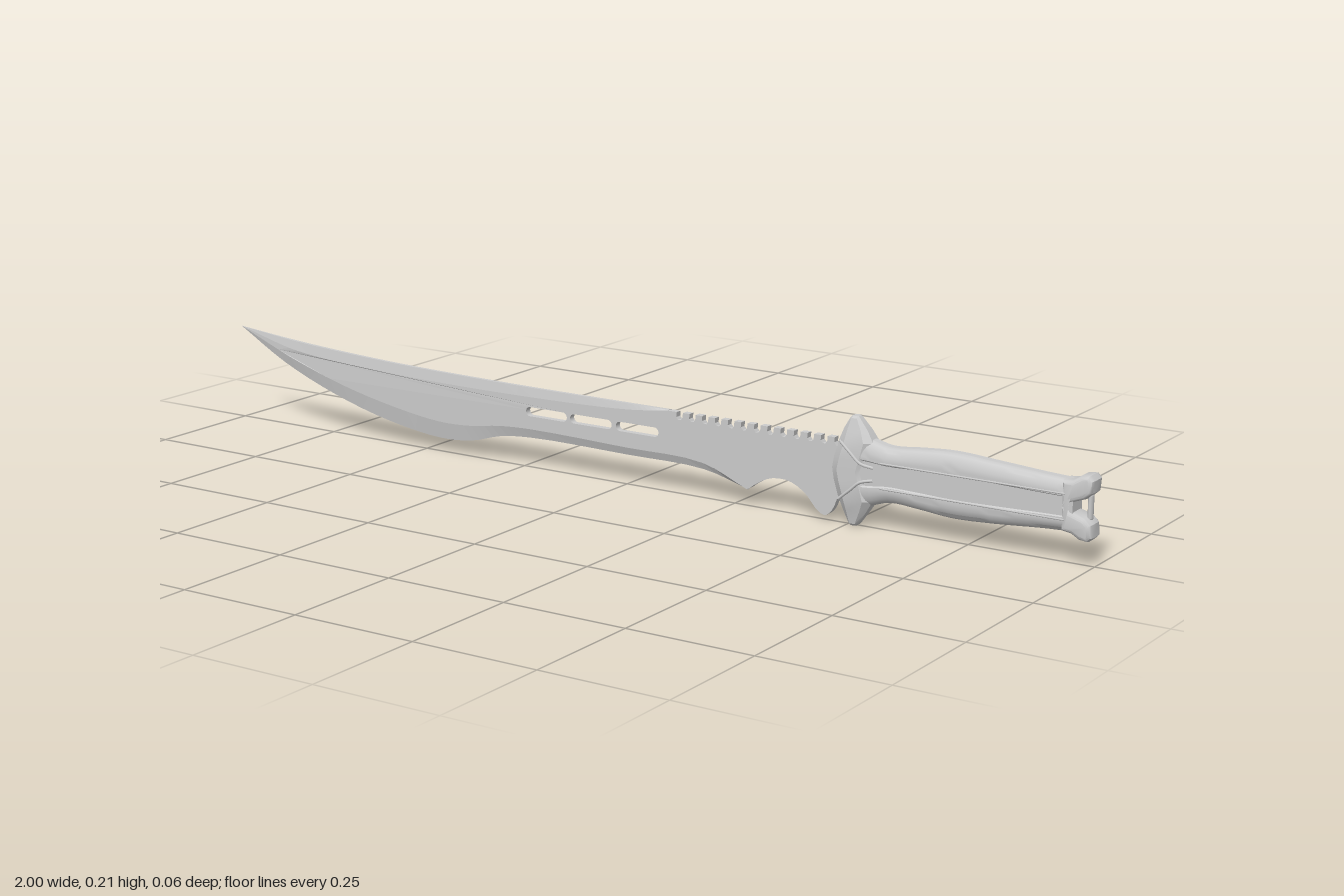
import * as THREE from 'three';
import { toCreasedNormals } from 'three/addons/utils/BufferGeometryUtils.js';

const CY = 0.108; // height of the handle axis
const HALF = 0.007; // half thickness of the blade
const V = (x, y, z) => new THREE.Vector3(x, y, z);

// Skin a list of equal-sized rings and close both ends.
function loft(rings, crease = 0.6) {
  const n = rings[0].length, last = rings.length - 1, pos = [], idx = [];
  rings.forEach(r => r.forEach(p => pos.push(p.x, p.y, p.z)));
  for (let i = 0; i < last; i++) {
    for (let j = 0; j < n; j++) {
      const k = (j + 1) % n, a = i * n + j, b = i * n + k;
      idx.push(a, a + n, b, b, a + n, b + n);
    }
  }
  [0, last].forEach(i => {
    const c = V(0, 0, 0);
    rings[i].forEach(p => c.addScaledVector(p, 1 / n));
    const ci = pos.length / 3;
    pos.push(c.x, c.y, c.z);
    for (let j = 0; j < n; j++) {
      const a = i * n + j, b = i * n + (j + 1) % n;
      if (i === 0) idx.push(ci, a, b); else idx.push(ci, b, a);
    }
  });
  const g = new THREE.BufferGeometry();
  g.setAttribute('position', new THREE.Float32BufferAttribute(pos, 3));
  g.setIndex(idx);
  return toCreasedNormals(g, crease);
}

const smooth = (pts, n) =>
  new THREE.CatmullRomCurve3(pts.map(p => V(p[0], p[1], 0)), false, 'centripetal').getPoints(n);

// Thin the blade towards its point.
function taperTip(g) {
  const p = g.attributes.position;
  for (let i = 0; i < p.count; i++) {
    p.setZ(i, p.getZ(i) * Math.min(1, 0.08 + (p.getX(i) + 1) / 0.16));
  }
  g.computeVertexNormals();
  return g;
}

function slot(x0, x1, y0, y1) {
  const r = (y1 - y0) / 2, cy = (y0 + y1) / 2, h = new THREE.Path();
  h.absarc(x0 + r, cy, r, Math.PI / 2, Math.PI * 1.5, false);
  h.absarc(x1 - r, cy, r, -Math.PI / 2, Math.PI / 2, false);
  h.closePath();
  return h;
}

export function createModel() {
  const group = new THREE.Group();
  const mat = new THREE.MeshStandardMaterial({ color: 0xcccccc });
  const add = (name, g, parent = group) => {
    const m = new THREE.Mesh(g, mat);
    m.name = name;
    parent.add(m);
    return m;
  };

  // Blade: flat core with bevels along the spine and cutting edge
  const blade = new THREE.Group();
  blade.name = 'blade';
  group.add(blade);
  const N = 40;
  const spineEdge = smooth([[-1, 0.2], [-0.84, 0.185], [-0.6, 0.172], [-0.3, 0.166], [0, 0.165], [0.1, 0.165]], N);
  const spineLine = smooth([[-1, 0.2], [-0.84, 0.166], [-0.6, 0.15], [-0.3, 0.146], [0, 0.153], [0.1, 0.164]], N);
  const cutEdge = smooth([[-1, 0.2], [-0.88, 0.135], [-0.74, 0.082], [-0.6, 0.046], [-0.46, 0.028], [-0.38, 0.034],
    [-0.31, 0.053], [-0.23, 0.061], [0, 0.06], [0.18, 0.057], [0.28, 0.032]], N);
  const cutLine = smooth([[-1, 0.2], [-0.86, 0.15], [-0.72, 0.108], [-0.58, 0.079], [-0.46, 0.064], [-0.38, 0.066],
    [-0.31, 0.076], [-0.23, 0.08], [0, 0.076], [0.18, 0.071], [0.28, 0.034]], N);

  const outline = cutLine.map(p => [p.x, p.y]);
  // finger notch and heel
  smooth([[0.28, 0.032], [0.3, 0.047], [0.335, 0.064], [0.375, 0.064], [0.41, 0.045], [0.435, 0.018],
    [0.452, 0.01], [0.468, 0.022], [0.485, 0.055], [0.52, 0.06]], 26).slice(1).forEach(p => outline.push([p.x, p.y]));
  outline.push([0.52, 0.163]);
  // saw teeth along the back
  const teeth = 13, pitch = 0.38 / teeth;
  for (let i = 0; i < teeth; i++) {
    const x = 0.485 - i * pitch;
    outline.push([x, 0.164], [x - 0.001, 0.154], [x - 0.005, 0.149], [x - 0.011, 0.149],
      [x - 0.015, 0.154], [x - 0.014, 0.164]);
  }
  [...spineLine].reverse().slice(0, -1).forEach(p => outline.push([p.x, p.y]));
  const shape = new THREE.Shape(outline.map(p => new THREE.Vector2(...p)));
  [-0.24, -0.132, -0.022].forEach(x => shape.holes.push(slot(x, x + 0.1, 0.107, 0.126)));
  const core = new THREE.ExtrudeGeometry(shape, { depth: HALF * 2, bevelEnabled: false, curveSegments: 8 });
  core.translate(0, 0, -HALF);
  add('bladeCore', taperTip(core), blade);

  const bevel = (line, edge, e, s) => taperTip(loft(line.map((p, i) => {
    const q = edge[i];
    return [V(p.x, p.y, s * HALF), V(q.x, q.y, s * e), V(q.x, q.y, -s * e), V(p.x, p.y, -s * HALF)];
  })));
  add('spineBevel', bevel(spineLine, spineEdge, 0.004, 1), blade);
  add('cuttingBevel', bevel(cutLine, cutEdge, 0.0006, -1), blade);

  // Grip: rounded section with a shallow channel along each side
  const quarter = [[0.84, 0], [0.84, 0.36], [0.98, 0.4], [1, 0.5], [0.95, 0.64], [0.82, 0.8], [0.6, 0.92], [0.32, 0.985]];
  const half = [...quarter, [0, 1], ...quarter.map(([u, v]) => [-u, v]).reverse()];
  const section = [...half, ...half.slice(1, -1).map(([u, v]) => [-u, -v])];
  const top = smooth([[0.5, 0.172], [0.545, 0.172], [0.59, 0.163], [0.65, 0.168], [0.72, 0.172], [0.8, 0.167],
    [0.9, 0.16], [0.962, 0.157]], 28);
  const bottom = smooth([[0.5, 0.042], [0.545, 0.042], [0.59, 0.055], [0.65, 0.052], [0.72, 0.046], [0.8, 0.049],
    [0.9, 0.057], [0.962, 0.06]], 28);
  add('grip', loft(top.map((t, i) => section.map(([u, v]) =>
    V(t.x, CY + v * (v > 0 ? t.y - CY : CY - bottom[i].y), u * 0.0235))), 0.7));

  // Rails bordering the channel
  for (const z of [-1, 1]) for (const y of [-1, 1]) {
    const rail = add('channelRail', new THREE.CylinderGeometry(0.002, 0.002, 0.37, 8));
    rail.rotation.z = Math.PI / 2;
    rail.position.set(0.762, CY + y * 0.024, z * 0.0225);
  }

  // Guard: stacked levels of [y, xMin, xMax, half depth]
  const levels = [[0, 0.507, 0.52, 0.008], [0.004, 0.503, 0.524, 0.0115], [0.03, 0.492, 0.542, 0.017],
    [0.052, 0.484, 0.556, 0.0235], [0.085, 0.474, 0.548, 0.0245], [0.108, 0.47, 0.54, 0.0245],
    [0.131, 0.474, 0.548, 0.0245], [0.164, 0.484, 0.556, 0.0235], [0.186, 0.492, 0.542, 0.017],
    [0.207, 0.503, 0.524, 0.0115], [0.211, 0.507, 0.52, 0.008]];
  add('guard', loft(levels.map(([y, a, b, d]) => {
    const c = (b - a) * 0.22, e = d * 0.55;
    return [[b, -e], [b, e], [b - c, d], [a + c, d], [a, e], [a, -e], [a + c, -d], [b - c, -d]]
      .map(([x, z]) => V(x, y, z));
  }), 0.4));

  // Raised chevrons on both guard faces
  for (const z of [-1, 1]) for (const y of [-1, 1]) {
    const path = new THREE.CatmullRomCurve3([V(0.49, CY + y * 0.056, z * 0.022), V(0.515, CY + y * 0.035, z * 0.0245),
      V(0.535, CY + y * 0.018, z * 0.0245), V(0.56, CY + y * 0.012, z * 0.02)]);
    add('guardRidge', new THREE.TubeGeometry(path, 10, 0.003, 8));
  }

  // Pommel: two lobes around a notch
  const lobes = new THREE.Shape([[0.94, 0.062], [0.96, 0.059], [0.975, 0.05], [0.992, 0.048], [1, 0.056], [0.998, 0.08],
    [0.985, 0.092], [0.958, 0.1], [0.952, 0.108], [0.958, 0.116], [0.985, 0.126], [0.998, 0.138], [1, 0.161],
    [0.992, 0.17], [0.975, 0.168], [0.96, 0.158], [0.94, 0.156]].map(p => new THREE.Vector2(...p)));
  const pommel = new THREE.ExtrudeGeometry(lobes, {
    depth: 0.024, bevelThickness: 0.012, bevelSize: 0.008, bevelOffset: -0.008, bevelSegments: 4,
  });
  pommel.translate(0, 0, -0.012);
  add('pommel', toCreasedNormals(pommel, 0.7));

  // Lanyard bar bridging the notch
  const bar = add('lanyardBar', new THREE.CapsuleGeometry(0.006, 0.04, 4, 12));
  bar.position.set(0.988, CY + 0.001, 0);
  bar.scale.set(0.8, 1, 1.3);

  return group;
}
